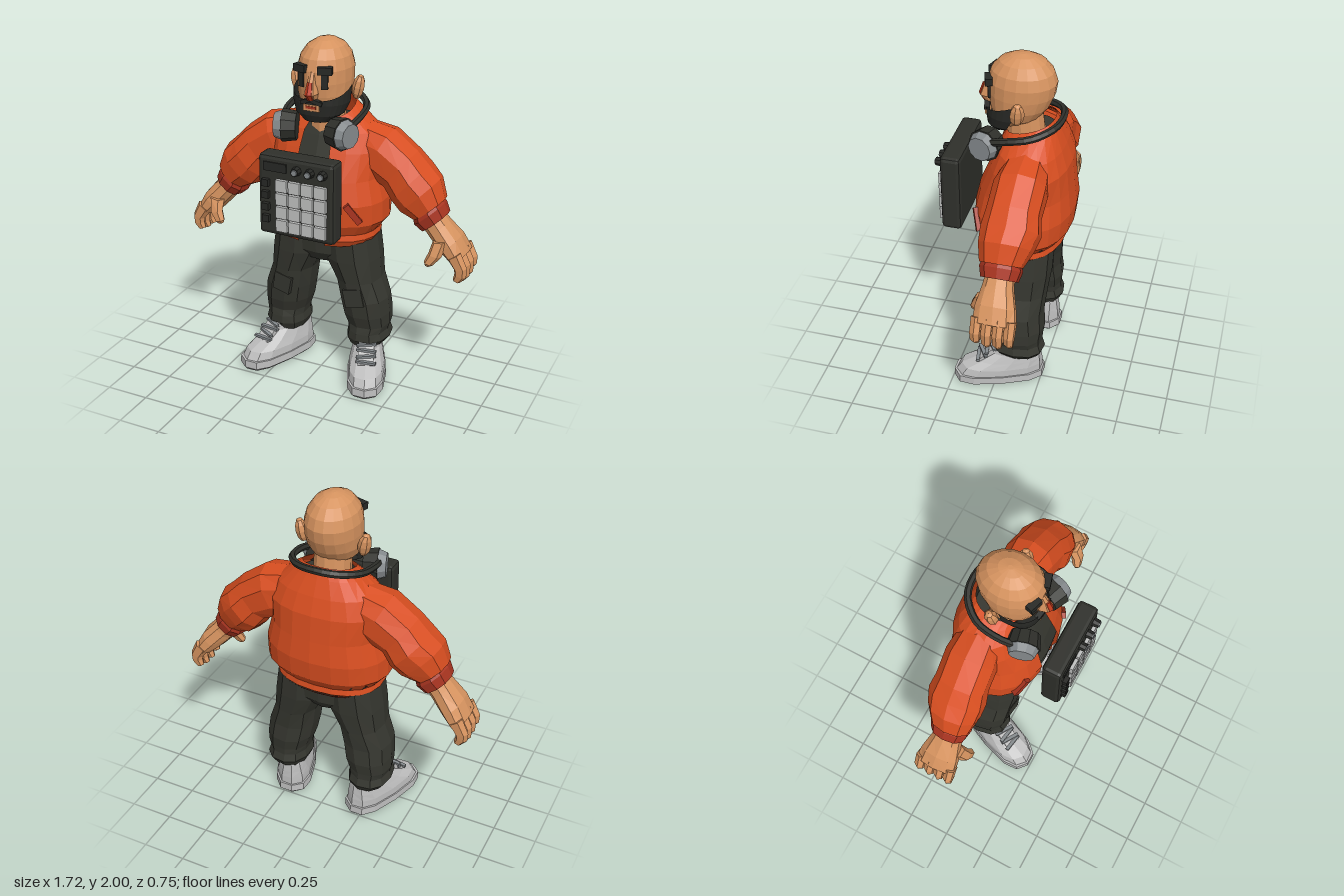
import * as THREE from 'three';
import { RoundedBoxGeometry } from 'three/addons/geometries/RoundedBoxGeometry.js';

const paint = (name, color, side = THREE.FrontSide) => {
  const m = new THREE.MeshStandardMaterial({ color, side });
  m.name = name;
  return m;
};

// Faceted copy of a geometry: every triangle keeps its own normal.
function facet(geo) {
  const g = geo.index ? geo.toNonIndexed() : geo.clone();
  g.deleteAttribute('uv');
  g.computeVertexNormals();
  return g;
}

// Mirror across x = 0 and restore the corner order.
function mirrored(geo) {
  const g = geo.clone().scale(-1, 1, 1);
  const a = g.attributes.position.array;
  for (let i = 0; i < a.length; i += 9)
    for (let k = 0; k < 3; k++) [a[i + k], a[i + 6 + k]] = [a[i + 6 + k], a[i + k]];
  g.computeVertexNormals();
  return g;
}

// Skin over rings [x, y, z, halfWidth, halfDepth, heading in degrees = 90 (up), tilt = 0].
// from/to limit the sweep in degrees; 90 is the front.
function loft(rings, { n = 12, e = 2.3, from = 0, to = 360 } = {}) {
  const pos = [], idx = [], closed = to - from >= 360, w = n + 1;
  const soft = v => Math.sign(v) * Math.abs(v) ** (2 / e);
  for (const [x, y, z, a, b, heading = 90, tilt = 0] of rings) {
    const h = THREE.MathUtils.degToRad(heading);
    for (let j = 0; j <= n; j++) {
      const t = THREE.MathUtils.degToRad(from + (to - from) * j / n);
      const u = a * soft(Math.cos(t)), v = soft(Math.sin(t));
      pos.push(x + Math.sin(h) * u, y - Math.cos(h) * u + tilt * v, z + b * v);
    }
  }
  for (let i = 0; i < rings.length - 1; i++)
    for (let j = 0; j < n; j++) {
      const p = i * w + j, q = p + w;
      idx.push(p, q, p + 1, p + 1, q, q + 1);
    }
  if (closed) {
    const last = (rings.length - 1) * w, c = pos.length / 3;
    pos.push(...rings[0].slice(0, 3), ...rings.at(-1).slice(0, 3));
    for (let j = 0; j < n; j++) idx.push(c, j, j + 1, c + 1, last + j + 1, last + j);
  }
  const g = new THREE.BufferGeometry();
  g.setAttribute('position', new THREE.Float32BufferAttribute(pos, 3));
  g.setIndex(idx);
  return g;
}

const box = (w, h, d, x, y, z, ry = 0, rz = 0) =>
  new THREE.BoxGeometry(w, h, d).rotateZ(rz).rotateY(ry).translate(x, y, z);

export function createModel() {
  const root = new THREE.Group();
  root.name = 'figure';
  const jacketMat = paint('orange jacket', 0xd84e20, THREE.DoubleSide);
  const trim = paint('dark red trim', 0xa83420);
  const skin = paint('skin', 0xd6935f);
  const red = paint('red nose', 0xc23a1c);
  const cloth = paint('dark trousers', 0x35362f);
  const hair = paint('black hair', 0x272825, THREE.DoubleSide);
  const casing = paint('dark casing', 0x2f302b);
  const shoeMat = paint('light grey shoe', 0xbdbdbd);
  const padMat = paint('pad grey', 0xbfc0bf);
  const steel = paint('steel grey', 0x868b8e);

  const add = (name, geo, mat) => {
    const m = new THREE.Mesh(facet(geo), mat);
    m.name = name;
    root.add(m);
  };
  const pair = (name, geo, mat) => {
    const g = facet(geo);
    add(name + 'Left', g, mat);
    add(name + 'Right', mirrored(g), mat);
  };

  // Torso: open jacket over a dark shirt
  const torso = [
    [0, 0.93, -0.09, 0.305, 0.225], [0, 1.0, -0.098, 0.36, 0.265], [0, 1.12, -0.098, 0.36, 0.277],
    [0, 1.25, -0.105, 0.325, 0.255], [0, 1.4, -0.128, 0.33, 0.217], [0, 1.5, -0.13, 0.285, 0.18],
    [0, 1.57, -0.125, 0.2, 0.145, 90, -0.02], [0, 1.61, -0.115, 0.14, 0.13, 90, -0.04]];
  const gap = { n: 20, from: 103, to: 437 };
  add('jacket', loft(torso, gap), jacketMat);
  add('jacketHem', loft([[0, 0.87, -0.09, 0.29, 0.215, 90, -0.01], [0, 0.9, -0.09, 0.312, 0.235],
    [0, 0.94, -0.09, 0.305, 0.228]], gap), jacketMat);
  add('hemBand', loft([[0, 0.865, -0.09, 0.283, 0.208], [0, 0.885, -0.09, 0.302, 0.225]],
    { n: 16, from: 140, to: 400 }), trim);
  add('shirt', loft(torso.slice(0, 7).map(([x, y, z, a, b]) => [x, y - 0.03, z, a - 0.025, b - 0.022]), { n: 20 }), cloth);
  pair('pocket', box(0.035, 0.13, 0.04, 0.245, 1.085, 0.118, 0.5, 0.65), trim);

  // Sleeves and cuffs
  pair('sleeve', loft([
    [0.18, 1.41, -0.14, 0.14, 0.12, -10], [0.31, 1.375, -0.135, 0.155, 0.145, -25],
    [0.43, 1.3, -0.13, 0.14, 0.145, -38], [0.49, 1.23, -0.13, 0.145, 0.16, -42],
    [0.55, 1.17, -0.12, 0.148, 0.145, -45], [0.61, 1.1, -0.11, 0.105, 0.115, -50]], { n: 10 }), jacketMat);
  pair('cuff', loft([[0.595, 1.1, -0.11, 0.096, 0.105, -49], [0.61, 1.075, -0.11, 0.104, 0.115, -49],
    [0.645, 1.03, -0.11, 0.09, 0.1, -49]], { n: 10 }), trim);

  // Hands
  pair('palm', loft([[0.62, 1.05, -0.11, 0.07, 0.075, -49], [0.67, 0.995, -0.11, 0.07, 0.085, -46],
    [0.74, 0.92, -0.115, 0.07, 0.11, -48], [0.79, 0.855, -0.12, 0.055, 0.118, -62]], { n: 10 }), skin);
  for (let i = 0; i < 4; i++) {
    const z = -0.028 - i * 0.06, d = [0.015, 0, 0, 0.02][i];
    pair('finger' + (i + 1), loft([[0.785, 0.88, z, 0.045, 0.031, -55], [0.825, 0.81, z, 0.038, 0.03, -75],
      [0.825, 0.755 + d, z, 0.034, 0.027, -100], [0.805, 0.72 + d, z, 0.022, 0.02, -110]], { n: 6 }), skin);
  }
  pair('thumb', loft([[0.7, 0.95, -0.04, 0.045, 0.045, -80], [0.685, 0.88, 0.0, 0.038, 0.035, -100],
    [0.655, 0.83, 0.015, 0.028, 0.026, -105], [0.648, 0.815, 0.015, 0.015, 0.015, -105]], { n: 6 }), skin);

  // Trousers
  add('hips', loft([[0, 0.72, -0.1, 0.16, 0.13], [0, 0.78, -0.1, 0.29, 0.17], [0, 0.94, -0.1, 0.285, 0.185]]), cloth);
  pair('trouserLeg', loft([
    [0.255, 0.2, -0.115, 0.1, 0.13], [0.262, 0.245, -0.115, 0.126, 0.155], [0.26, 0.29, -0.11, 0.115, 0.145],
    [0.262, 0.33, -0.115, 0.125, 0.14], [0.25, 0.4, -0.11, 0.137, 0.155], [0.235, 0.5, -0.1, 0.142, 0.155],
    [0.205, 0.62, -0.1, 0.128, 0.165], [0.165, 0.75, -0.1, 0.158, 0.18], [0.15, 0.9, -0.1, 0.15, 0.185]], { n: 11 }), cloth);
  pair('kneePatch', box(0.11, 0.11, 0.03, 0.225, 0.53, 0.045, 0.1, 0.2), cloth);

  // Shoes, turned outward
  const place = g => g.rotateY(0.36).translate(0.295, 0, 0.005);
  pair('sole', place(loft([[0, 0, -0.015, 0.093, 0.25], [0, 0.02, -0.015, 0.115, 0.268],
    [0, 0.065, -0.015, 0.113, 0.266]], { e: 2.8 })), shoeMat);
  pair('shoe', place(loft([[0, 0.06, -0.015, 0.106, 0.257], [0, 0.11, -0.03, 0.104, 0.238],
    [0, 0.15, -0.072, 0.093, 0.19], [0, 0.2, -0.11, 0.08, 0.145], [0, 0.25, -0.11, 0.07, 0.13, 90, 0.01]], { e: 2.6 })), shoeMat);
  pair('tongue', place(new THREE.BoxGeometry(0.09, 0.03, 0.17).rotateX(0.75).translate(0, 0.2, 0.045)), shoeMat);
  for (let i = 0; i < 4; i++)
    pair('lace' + (i + 1), place(box(0.115, 0.014, 0.02, 0, 0.165 + i * 0.024, 0.108 - i * 0.026, i % 2 ? 0.2 : -0.2)), steel);

  // Head
  add('neck', loft([[0, 1.48, -0.09, 0.105, 0.11], [0, 1.68, -0.075, 0.1, 0.1]], { e: 2 }), skin);
  add('head', loft([
    [0, 1.6, -0.02, 0.08, 0.09], [0, 1.65, -0.035, 0.125, 0.13], [0, 1.71, -0.05, 0.146, 0.16],
    [0, 1.78, -0.06, 0.151, 0.18], [0, 1.85, -0.065, 0.15, 0.185], [0, 1.91, -0.065, 0.134, 0.166],
    [0, 1.96, -0.065, 0.1, 0.124], [0, 1.99, -0.065, 0.052, 0.066], [0, 2.0, -0.065, 0.012, 0.015]], { n: 18, e: 2 }), skin);
  pair('ear', new THREE.SphereGeometry(1, 7, 6).scale(0.034, 0.07, 0.04).rotateZ(-0.2).rotateY(0.4).translate(0.183, 1.74, -0.08), skin);
  add('nose', loft([[0, 1.705, 0.11, 0.03, 0.03], [0, 1.735, 0.12, 0.038, 0.05],
    [0, 1.79, 0.11, 0.025, 0.04], [0, 1.85, 0.1, 0.018, 0.022]], { n: 8 }), skin);
  add('noseFront', loft([[0, 1.7, 0.125, 0.02, 0.022], [0, 1.735, 0.13, 0.026, 0.045],
    [0, 1.8, 0.115, 0.018, 0.037]], { n: 8 }), red);
  pair('eye', box(0.036, 0.085, 0.02, 0.067, 1.802, 0.097, 0.35), hair);
  pair('eyebrow', box(0.078, 0.04, 0.04, 0.07, 1.862, 0.1, 0.3), hair);

  // Beard and mouth
  add('beard', loft([[0, 1.56, 0.03, 0.01, 0.01], [0, 1.57, 0.025, 0.08, 0.08], [0, 1.61, 0.005, 0.135, 0.115],
    [0, 1.67, -0.02, 0.156, 0.145], [0, 1.75, -0.03, 0.158, 0.154, 90, -0.055]], { n: 14, from: -6, to: 186 }), hair);
  add('mouth', box(0.095, 0.035, 0.02, 0, 1.655, 0.118), skin);
  add('lip', box(0.06, 0.014, 0.02, 0, 1.658, 0.122), trim);
  pair('moustache', box(0.065, 0.022, 0.03, 0.03, 1.69, 0.12, 0.2, -0.35), hair);

  // Headphones resting around the neck
  const arc = [[0.2, 1.56, 0.07], [0.218, 1.59, -0.03], [0.2, 1.615, -0.16], [0.11, 1.64, -0.26]];
  const band = [...arc, [0, 1.648, -0.285], ...arc.map(([x, y, z]) => [-x, y, z]).reverse()];
  add('headphoneBand', new THREE.TubeGeometry(new THREE.CatmullRomCurve3(
    band.map(p => new THREE.Vector3(...p))), 24, 0.02, 6), casing);
  const disc = (r1, r2, t, x) => new THREE.CylinderGeometry(r1, r2, t, 10).rotateZ(-Math.PI / 2)
    .translate(x, 0, 0).rotateY(-0.3).translate(0.17, 1.525, 0.095);
  pair('earCushion', disc(0.092, 0.08, 0.08, -0.025), casing);
  pair('earCup', disc(0.068, 0.084, 0.045, 0.037), steel);

  // Pad controller floating before the chest
  add('controllerBody', new RoundedBoxGeometry(0.448, 0.46, 0.115, 1, 0.022).translate(0.01, 1.207, 0.278), casing);
  add('screen', box(0.135, 0.05, 0.008, -0.11, 1.375, 0.338), hair);
  for (let r = 0; r < 4; r++) {
    for (let c = 0; c < 4; c++)
      add('pad', box(0.067, 0.067, 0.024, -0.068 + c * 0.076, 1.046 + r * 0.077, 0.343), padMat);
    add('sideButton', box(0.04, 0.04, 0.03, -0.163, 1.077 + r * 0.069, 0.345), hair);
  }
  for (const x of [0.02, 0.097, 0.172]) {
    const knob = (r, d, z) => new THREE.CylinderGeometry(r * 0.85, r, d, 8).rotateX(Math.PI / 2).translate(x, 1.375, z);
    add('knob', knob(0.027, 0.04, 0.35), hair);
    add('knobTop', knob(0.018, 0.006, 0.372), steel);
  }
  return root;
}
